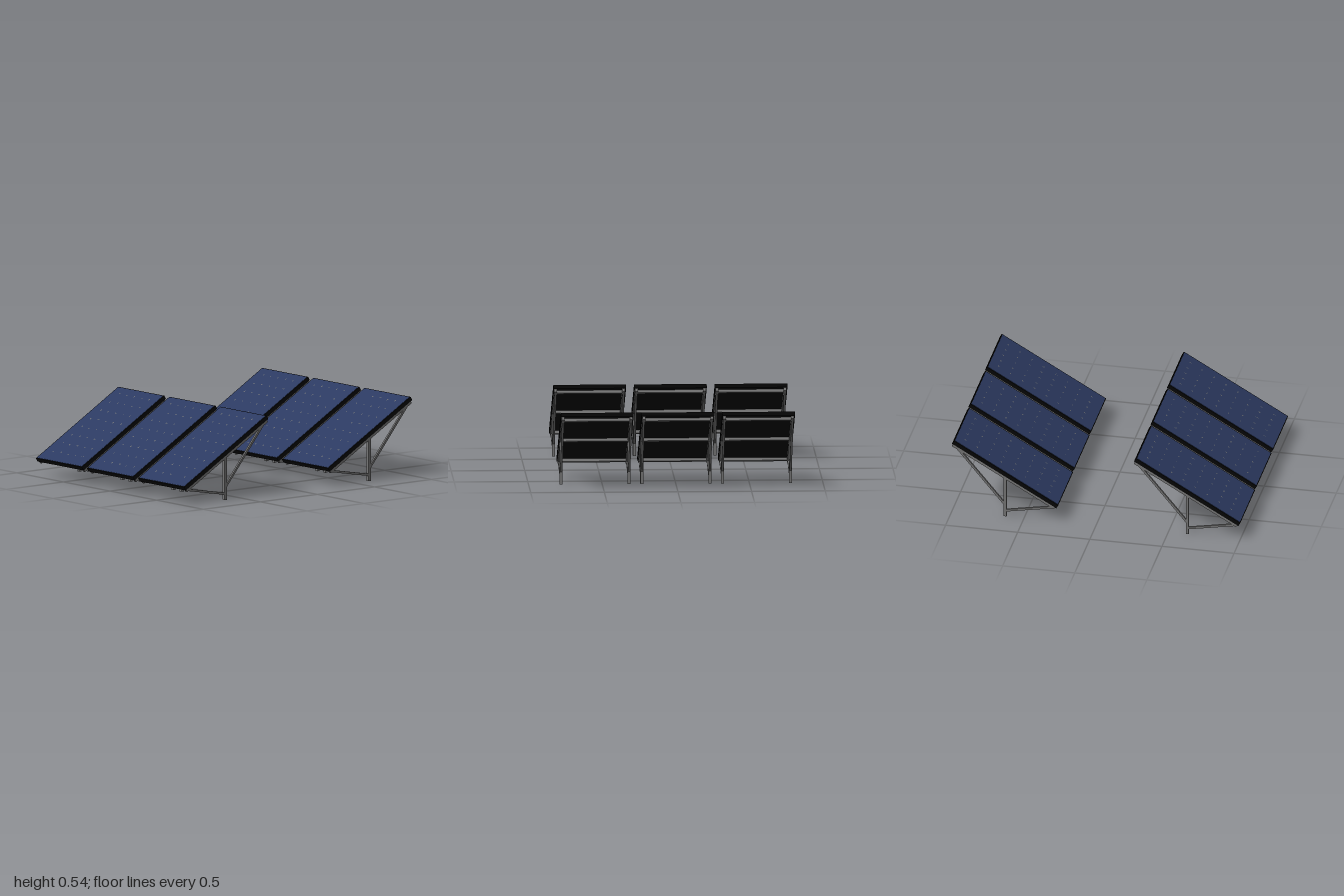
import * as THREE from 'three';
import { mergeGeometries } from 'three/addons/utils/BufferGeometryUtils.js';

const TILT = Math.PI / 6;
const LENGTH = 0.835, WIDTH = 0.494, THICK = 0.027; // panel slab
const BAR = 0.02;                                   // support bar section
const LOW = [-0.369, 0.126];                        // lower top edge, from the table centre
const SIDE = WIDTH / 2 - 0.006 - BAR / 2;           // z of the side supports

const steel = new THREE.MeshStandardMaterial({ name: 'steel grey', color: 0x747474 });
const black = new THREE.MeshStandardMaterial({ name: 'frame black', color: 0x060606 });
const blue = new THREE.MeshStandardMaterial({ name: 'cell blue', color: 0x2c3a61 });

function box(name, size, pos, material, parent) {
  const mesh = new THREE.Mesh(new THREE.BoxGeometry(...size), material);
  mesh.name = name;
  mesh.position.set(...pos);
  parent.add(mesh);
  return mesh;
}

// Square bar between two points of the xy plane
function strut(name, a, b, z, width, parent) {
  const dx = b[0] - a[0], dy = b[1] - a[1];
  const bar = box(name, [Math.hypot(dx, dy), width, width],
    [(a[0] + b[0]) / 2, (a[1] + b[1]) / 2, z], steel, parent);
  bar.rotation.z = Math.atan2(dy, dx);
}

// Small four-pointed marks where the corners of the cells meet
function cellMarks() {
  const star = new THREE.Shape();
  for (let i = 0; i < 8; i++) {
    const r = i % 2 ? 0.0025 : 0.012, a = (i * Math.PI) / 4;
    const x = r * Math.cos(a), y = r * Math.sin(a);
    if (i) star.lineTo(x, y); else star.moveTo(x, y);
  }
  const marks = [];
  for (let i = 1; i <= 8; i++) {
    for (let j = 1; j <= 5; j++) {
      marks.push(new THREE.ShapeGeometry(star).rotateX(-Math.PI / 2)
        .translate(i * 0.0957, 0.004, (j - 3) * 0.079));
    }
  }
  return mergeGeometries(marks);
}

function createTable(marks) {
  const table = new THREE.Group();

  // Tilted deck: x runs up the slope, y is normal to the panel
  const deck = new THREE.Group();
  deck.name = 'tiltedPanel';
  deck.position.set(LOW[0], LOW[1], 0);
  deck.rotation.z = TILT;
  table.add(deck);
  box('panelFrame', [LENGTH, THICK, WIDTH], [LENGTH / 2, -THICK / 2, 0], black, deck);
  box('solarCells', [LENGTH - 0.012, 0.004, WIDTH - 0.014], [LENGTH / 2, 0, 0], blue, deck);
  const mesh = new THREE.Mesh(marks, steel);
  mesh.name = 'cellMarks';
  deck.add(mesh);

  // Rails below the panel
  const railY = -THICK - BAR / 2;
  for (const x of [0.04, LENGTH / 2, 0.79]) {
    box('crossRail', [BAR, BAR, SIDE * 2 - BAR], [x, railY, 0], steel, deck);
  }
  for (const s of [-1, 1]) {
    box('sideRail', [LENGTH - 0.018, BAR, BAR], [LENGTH / 2, railY, s * SIDE], steel, deck);

    // Post with a low brace and a high brace
    box('post', [BAR, 0.3, BAR], [0, 0.15, s * SIDE], steel, table);
    strut('lowBrace', [-0.345, 0.105], [0, 0.042], s * SIDE, 0.015, table);
    strut('highBrace', [0, 0.085], [0.345, 0.5], s * SIDE, 0.015, table);
  }
  return table;
}

export function createModel() {
  const model = new THREE.Group();
  model.name = 'solarArray';
  const marks = cellMarks();
  // Two rows of three tables
  for (const x of [-0.631, 0.631]) {
    for (const z of [-0.548, 0, 0.548]) {
      const table = createTable(marks);
      table.name = 'solarTable';
      table.position.set(x, 0, z);
      model.add(table);
    }
  }
  return model;
}
